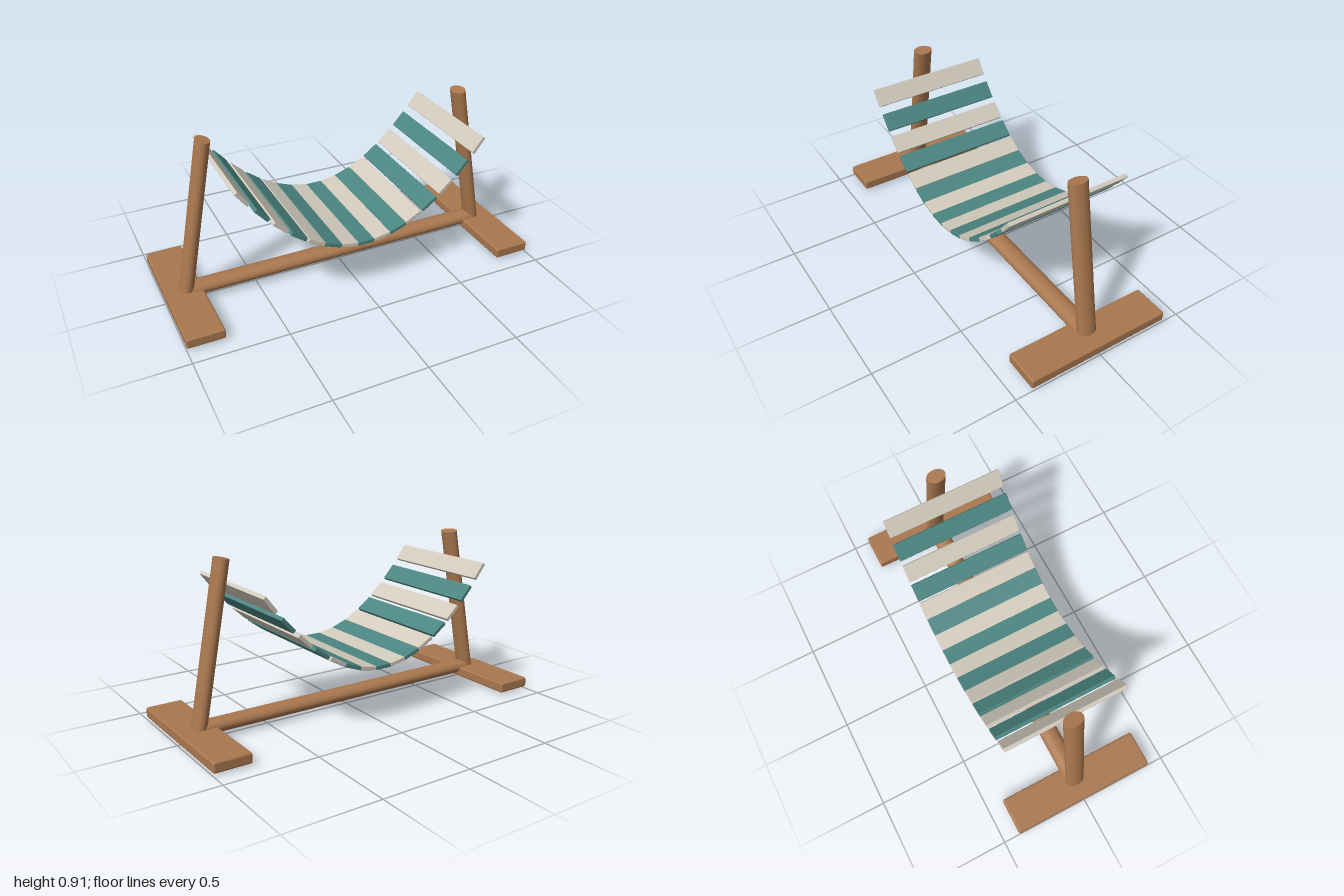
import * as THREE from 'three';
import { RoundedBoxGeometry } from 'three/addons/geometries/RoundedBoxGeometry.js';

const material = (name, color) => {
  const m = new THREE.MeshStandardMaterial({ color });
  m.name = name;
  return m;
};

export function createModel() {
  const group = new THREE.Group();
  const wood = material('wood', 0xa9774e);
  const teal = material('teal fabric', 0x4b8581);
  const cream = material('cream fabric', 0xd2cbbd);

  const add = (name, geometry, mat, x, y, tilt = 0) => {
    const mesh = new THREE.Mesh(geometry, mat);
    mesh.name = name;
    mesh.position.set(x, y, 0);
    mesh.rotation.z = tilt;
    group.add(mesh);
    return mesh;
  };

  // Oval pole running between two points in the x-y plane
  const pole = (name, x0, y0, x1, y1) => {
    const length = Math.hypot(x1 - x0, y1 - y0);
    const geometry = new THREE.CylinderGeometry(0.037, 0.037, length, 32);
    geometry.scale(1, 1, 0.053 / 0.037);
    const tilt = Math.atan2(y1 - y0, x1 - x0) - Math.PI / 2;
    add(name, geometry, wood, (x0 + x1) / 2, (y0 + y1) / 2, tilt);
  };

  // Feet and leaning posts, mirrored
  for (const [side, s] of [['left', 1], ['right', -1]]) {
    add(side + 'Foot', new RoundedBoxGeometry(0.2, 0.056, 0.816, 3, 0.01), wood, s * 0.9, 0.04);
    pole(side + 'Post', s * 0.893, 0.007, s * 0.723, 0.902);
  }

  // Long bar joining the posts
  pole('crossbar', -0.89, 0.061, 0.89, 0.061);

  // Striped sling: slats following a parabola
  const slat = new RoundedBoxGeometry(0.1, 0.021, 0.68, 2, 0.003);
  const reach = 0.65, sag = 0.42;
  for (let i = -7; i <= 7; i++) {
    const t = i / 7;
    const tilt = Math.atan(2 * sag * t / reach);
    add('slingSlat' + (i + 8), slat, i % 2 ? cream : teal, reach * t, 0.309 + sag * t * t, tilt);
  }
  return group;
}
